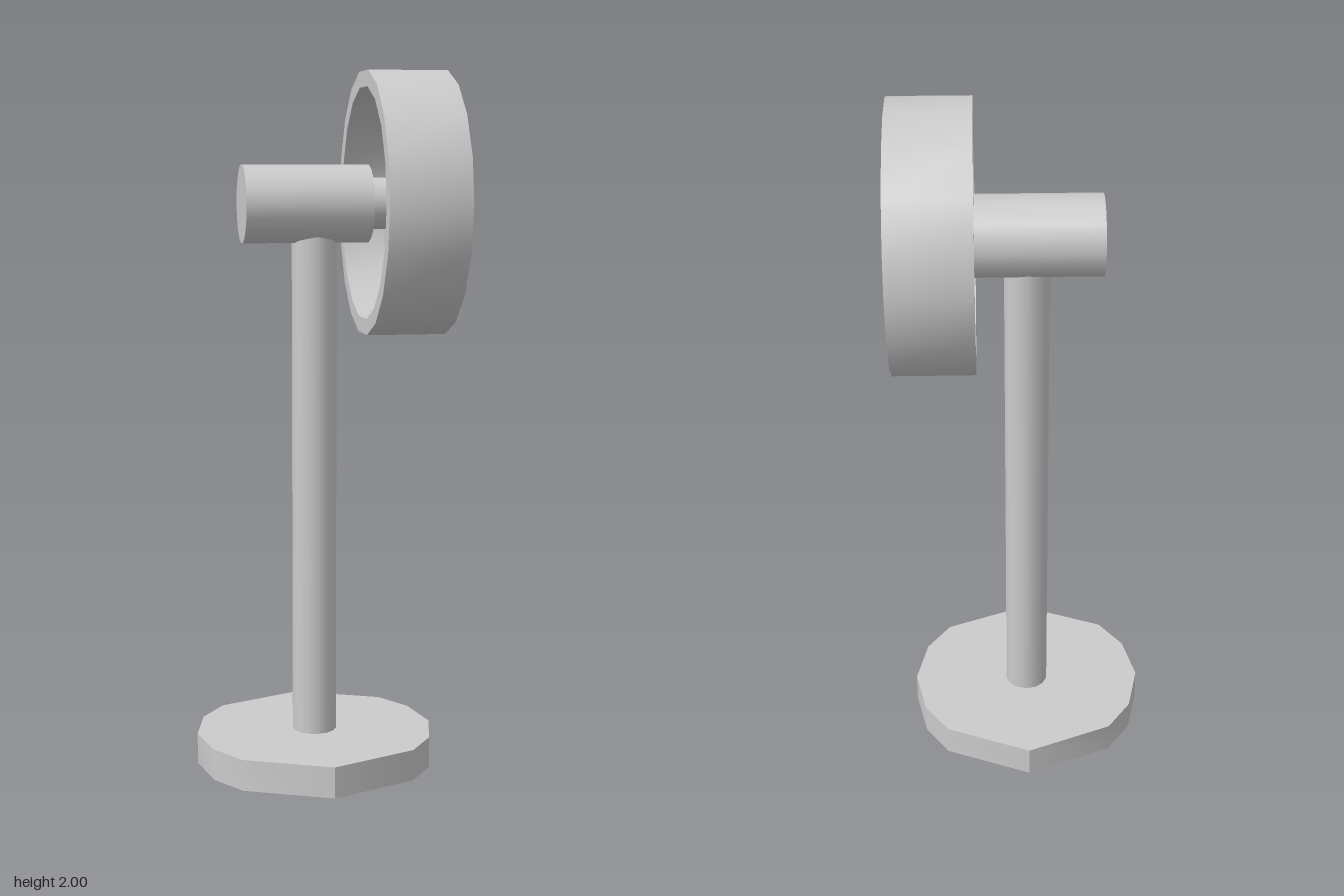
import * as THREE from 'three';
import { toCreasedNormals } from 'three/addons/utils/BufferGeometryUtils.js';

const AXIS_Y = 1.63; // height of the fan's axle
const POLE_X = -0.013;
const rad = THREE.MathUtils.degToRad;

export function createModel() {
  const group = new THREE.Group();
  const material = new THREE.MeshStandardMaterial({ color: 0xcccccc });

  const add = (name, geometry, x, y) => {
    const mesh = new THREE.Mesh(geometry, material);
    mesh.name = name;
    mesh.position.set(x, y, 0);
    group.add(mesh);
    return mesh;
  };

  // Extrudes a shape along +x; shape x becomes -z, so angles match a view from +x
  const extrudeX = (shape, depth) => {
    const geometry = new THREE.ExtrudeGeometry(shape, { depth, bevelEnabled: false });
    return toCreasedNormals(geometry.rotateY(Math.PI / 2), 0.6);
  };

  // Cylinder lying along x between two positions
  const cylinderX = (radius, x0, x1, sides) =>
    new THREE.CylinderGeometry(radius, radius, x1 - x0, sides)
      .rotateZ(-Math.PI / 2).translate((x0 + x1) / 2, 0, 0);

  const polygon = (Type, radius, angles) => new Type(angles.map((a) =>
    new THREE.Vector2(radius * Math.cos(rad(a)), radius * Math.sin(rad(a)))));

  // Base: a disc with uneven facets
  const baseAngles = [0, 25, 45, 90, 135, 155, 180, 205, 225, 270, 315, 335];
  const base = new THREE.ExtrudeGeometry(polygon(THREE.Shape, 0.347, baseAngles),
    { depth: 0.09, bevelEnabled: false }).rotateX(-Math.PI / 2);
  add('base', toCreasedNormals(base, 0.6), POLE_X, 0);

  // Pole, running up into the motor housing
  add('pole', new THREE.CylinderGeometry(0.064, 0.064, 1.47, 14).translate(0, 0.805, 0), POLE_X, 0);

  // Motor housing and axle
  add('motorHousing', cylinderX(0.116, -0.22, 0.14, 18), 0, AXIS_Y).scale.y = 0.96;
  add('axle', cylinderX(0.073, 0.1, 0.345, 16), 0, AXIS_Y);

  // Open ring around the blades
  const ringAngles = Array.from({ length: 18 }, (_, i) => i * 20);
  const ring = polygon(THREE.Shape, 0.37, ringAngles);
  ring.holes.push(polygon(THREE.Path, 0.325, ringAngles));
  add('ring', extrudeX(ring, 0.228), 0.128, AXIS_Y).scale.y = 1.015;

  // Three sector-shaped blades
  for (let i = 0; i < 3; i++) {
    const start = 45 + i * 120;
    const points = [[0.04, 68], [0.04, 0]];
    for (let k = 0; k <= 4; k++) points.push([0.291, k * 17]);
    const blade = new THREE.Shape(points.map(([r, a]) =>
      new THREE.Vector2(r * Math.cos(rad(start + a)), r * Math.sin(rad(start + a)))));
    add('blade' + (i + 1), extrudeX(blade, 0.05), 0.245, AXIS_Y);
  }

  return group;
}
